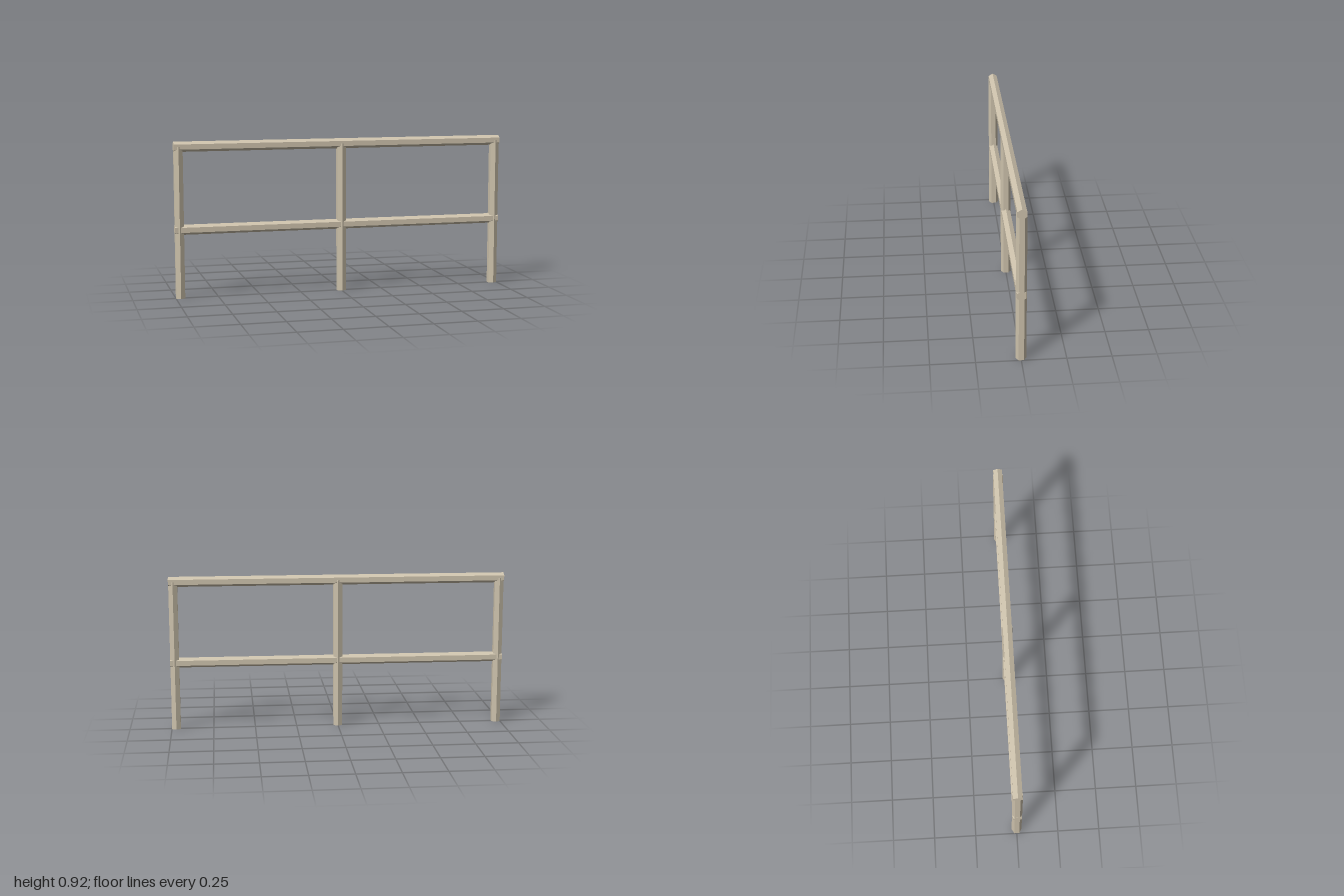
import * as THREE from 'three';

export function createModel() {
  const group = new THREE.Group();
  const paint = new THREE.MeshStandardMaterial({ color: 0xcdc2ac, flatShading: true });
  paint.name = 'beige paint';

  const radius = 0.03;
  const postHeight = 0.89;

  // Hexagonal posts, with a corner facing the front and back
  const postGeometry = new THREE.CylinderGeometry(radius, radius, postHeight, 6);
  postGeometry.translate(0, postHeight / 2, 0);
  const posts = { leftPost: 0.973, middlePost: 0, rightPost: -0.973 };
  for (const [name, x] of Object.entries(posts)) {
    const post = new THREE.Mesh(postGeometry, paint);
    post.name = name;
    post.position.x = x;
    group.add(post);
  }

  // Hexagonal rails, with a corner pointing up
  const railGeometry = new THREE.CylinderGeometry(radius, radius, 2, 6);
  railGeometry.rotateY(Math.PI / 6).rotateZ(Math.PI / 2);
  const rails = { topRail: 0.89, middleRail: 0.405 };
  for (const [name, y] of Object.entries(rails)) {
    const rail = new THREE.Mesh(railGeometry, paint);
    rail.name = name;
    rail.position.y = y;
    group.add(rail);
  }

  return group;
}
